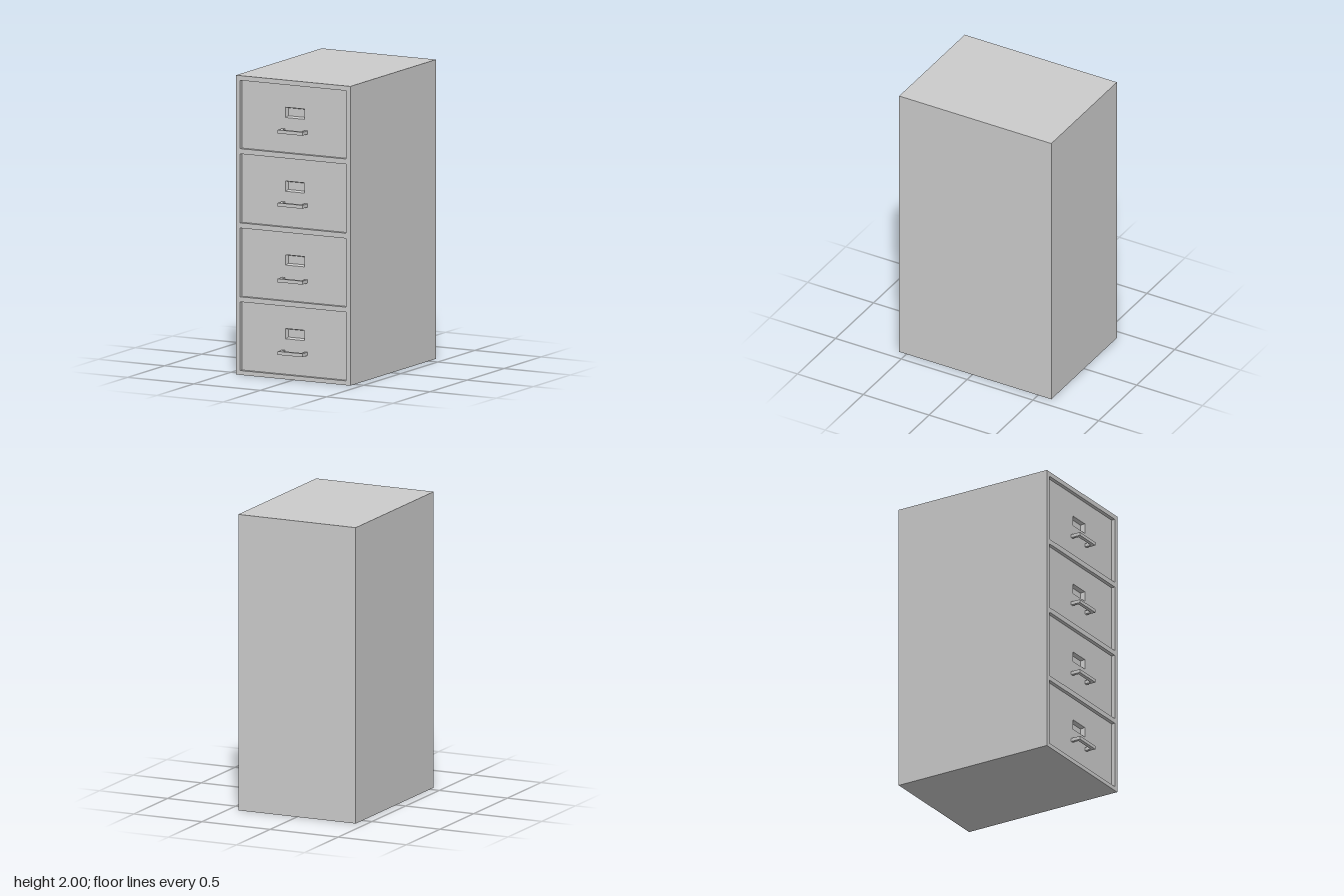
import * as THREE from 'three';

const grey = new THREE.MeshStandardMaterial({ color: 0xcccccc });
const thin = new THREE.MeshStandardMaterial({ color: 0xcccccc, side: THREE.DoubleSide });

const W = 0.862, BACK = -0.6, FRONT = 0.556;   // cabinet extents
const RECESS = 0.025, PANEL = 0.03;            // drawer set-back and panel thickness

function rectPath(PathType, x0, x1, y0, y1) {
  const p = new PathType();
  p.moveTo(x0, y0);
  p.lineTo(x1, y0);
  p.lineTo(x1, y1);
  p.lineTo(x0, y1);
  p.closePath();
  return p;
}

function add(parent, name, geometry, x = 0, y = 0, z = 0, material = grey) {
  const mesh = new THREE.Mesh(geometry, material);
  mesh.name = name;
  mesh.position.set(x, y, z);
  parent.add(mesh);
  return mesh;
}

const extrude = (shape, depth) =>
  new THREE.ExtrudeGeometry(shape, { depth, bevelEnabled: false });

// Shallow tray, open to the front, narrowing slightly towards its back
function trayGeometry(w, h, d) {
  const g = new THREE.BoxGeometry(w, h, d);
  const p = g.attributes.position;
  for (let i = 0; i < p.count; i++) {
    if (p.getZ(i) < 0) {
      p.setX(i, p.getX(i) * (1 - 0.016 / w));
      p.setY(i, p.getY(i) * (1 - 0.016 / h));
    }
  }
  const index = Array.from(g.index.array);
  index.splice(24, 6); // drop the front face
  g.setIndex(index);
  g.computeVertexNormals();
  return g;
}

export function createModel() {
  const model = new THREE.Group();
  model.name = 'filingCabinet';

  // Bottom, top, label centre and handle centre of each drawer
  const drawers = [
    [0.029, 0.488, 0.3, 0.179],
    [0.522, 0.981, 0.793, 0.664],
    [1.016, 1.477, 1.286, 1.171],
    [1.512, 1.968, 1.779, 1.659],
  ];
  const halfDrawer = 0.4, labelW = 0.145, labelH = 0.069;
  const inner = FRONT - RECESS - PANEL;

  // Cabinet body and the front frame with one opening per drawer
  add(model, 'cabinetBody', new THREE.BoxGeometry(W, 2, inner - BACK), 0, 1, (inner + BACK) / 2);
  const frame = rectPath(THREE.Shape, -W / 2, W / 2, 0, 2);
  for (const [y0, y1] of drawers) {
    frame.holes.push(rectPath(THREE.Path, -halfDrawer, halfDrawer, y0, y1));
  }
  add(model, 'frontFrame', extrude(frame, RECESS + PANEL), 0, 0, inner);

  for (const [y0, y1, labelY, handleY] of drawers) {
    const drawer = new THREE.Group();
    drawer.name = 'drawer';
    model.add(drawer);

    // Recessed drawer front with a window for the label
    const panel = rectPath(THREE.Shape, -halfDrawer, halfDrawer, y0, y1);
    panel.holes.push(rectPath(THREE.Path, -labelW / 2, labelW / 2,
      labelY - labelH / 2, labelY + labelH / 2));
    add(drawer, 'drawerFront', extrude(panel, PANEL), 0, 0, inner);
    const depth = PANEL - 0.002;
    add(drawer, 'labelRecess', trayGeometry(labelW, labelH, depth),
      0, labelY, inner + PANEL - depth / 2, thin);

    // U-shaped pull handle, drawn in plan and extruded upwards
    const z0 = inner + PANEL, u = new THREE.Shape();
    const plan = [[-0.094, z0], [-0.094, 0.6], [0.094, 0.6], [0.094, z0],
      [0.075, z0], [0.075, 0.576], [-0.075, 0.576], [-0.075, z0]];
    u.setFromPoints(plan.map(([x, z]) => new THREE.Vector2(x, -z)));
    const bar = extrude(u, 0.023);
    bar.rotateX(-Math.PI / 2);
    add(drawer, 'handle', bar, 0, handleY - 0.0115, 0);
  }
  return model;
}
